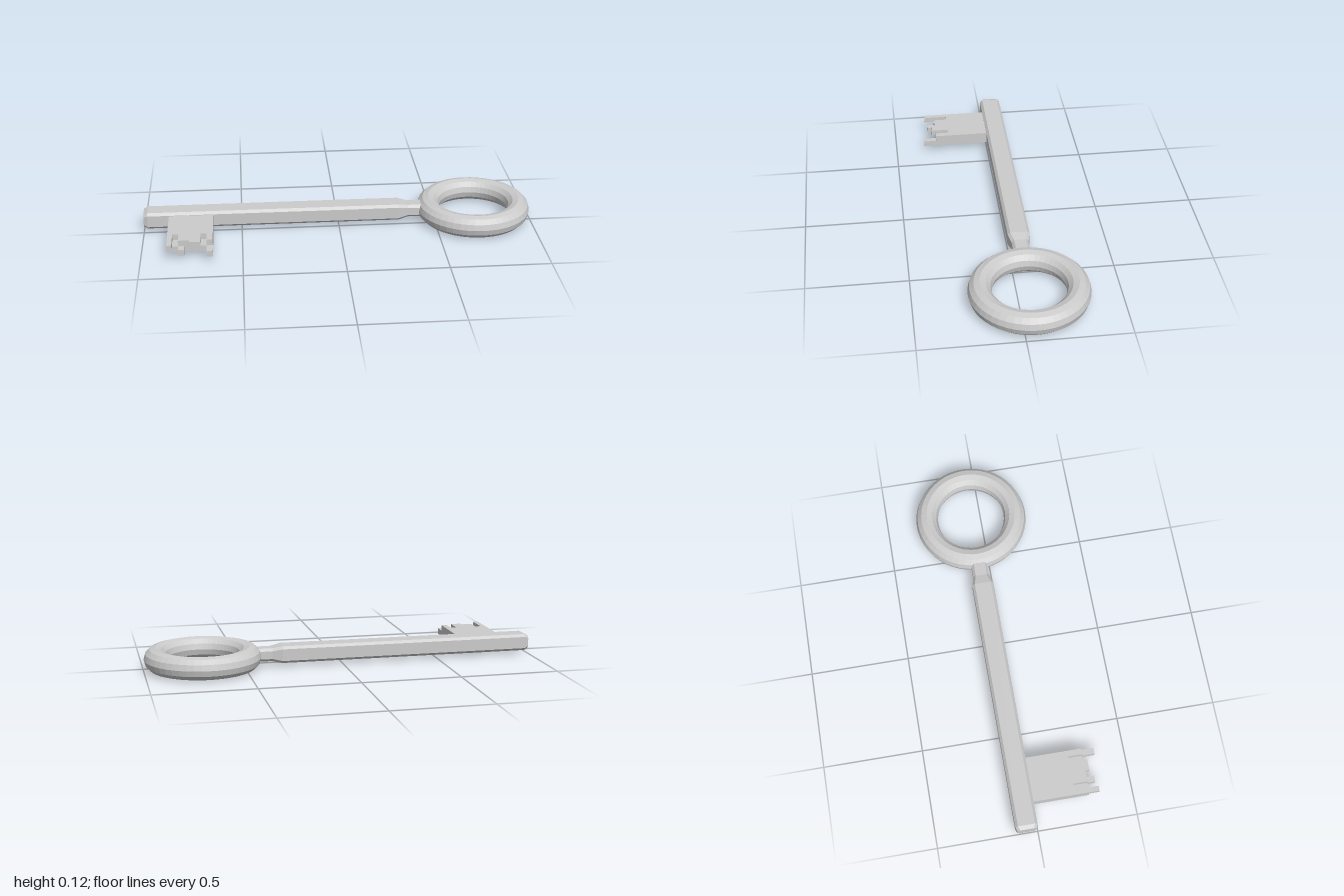
import * as THREE from 'three';

const material = new THREE.MeshStandardMaterial({ color: 0xcccccc, flatShading: true });

function addMesh(parent, name, geometry) {
  const mesh = new THREE.Mesh(geometry, material);
  mesh.name = name;
  parent.add(mesh);
  return mesh;
}

// Chamfered rectangle lofted along x; each section is [x, halfDepth, halfHeight]
function loftShaft(sections, cy, cz, chamfer) {
  const positions = [];
  const rings = sections.map(([x, d, h]) => {
    const c = chamfer;
    return [
      [d, -h + c], [d, h - c], [d - c, h], [-d + c, h],
      [-d, h - c], [-d, -h + c], [-d + c, -h], [d - c, -h],
    ].map(([z, y]) => [x, cy + y, cz + z]);
  });
  const tri = (a, b, c) => positions.push(...a, ...b, ...c);
  const first = rings[0];
  const last = rings[rings.length - 1];
  const n = first.length;
  for (let k = 0; k < rings.length - 1; k++) {
    for (let i = 0; i < n; i++) {
      const j = (i + 1) % n;
      tri(rings[k][i], rings[k + 1][i], rings[k][j]);
      tri(rings[k][j], rings[k + 1][i], rings[k + 1][j]);
    }
  }
  for (let i = 1; i < n - 1; i++) {
    tri(first[0], first[i], first[i + 1]);
    tri(last[0], last[i + 1], last[i]);
  }
  const geometry = new THREE.BufferGeometry();
  geometry.setAttribute('position', new THREE.Float32BufferAttribute(positions, 3));
  geometry.computeVertexNormals();
  return geometry;
}

// Flat plate from an x/z outline, hanging down from height top
function plate(outline, top, thickness) {
  const shape = new THREE.Shape(outline.map(([x, z]) => new THREE.Vector2(x, z)));
  return new THREE.ExtrudeGeometry(shape, { depth: thickness, bevelEnabled: false })
    .rotateX(Math.PI / 2)
    .translate(0, top, 0);
}

export function createModel() {
  const key = new THREE.Group();
  key.name = 'key';

  // Ring handle
  const handle = addMesh(key, 'ringHandle', new THREE.TorusGeometry(0.234, 0.058, 12, 48).rotateX(Math.PI / 2));
  handle.position.set(0.706, 0.06, -0.054);

  // Shaft with bevelled tip and narrowed neck
  addMesh(key, 'shaft', loftShaft([
    [-1, 0.047, 0.034],
    [-0.98, 0.055, 0.043],
    [0.31, 0.055, 0.043],
    [0.36, 0.042, 0.033],
    [0.44, 0.042, 0.033],
  ], 0.0625, -0.055, 0.013));

  // Bit made of two layers with different teeth
  const bit = new THREE.Group();
  bit.name = 'bit';
  key.add(bit);
  addMesh(bit, 'upperTeeth', plate([
    [-0.87, -0.03], [-0.645, -0.03], [-0.645, 0.28], [-0.675, 0.28],
    [-0.675, 0.21], [-0.705, 0.21], [-0.705, 0.3], [-0.76, 0.3],
    [-0.76, 0.28], [-0.815, 0.28], [-0.815, 0.21], [-0.845, 0.21],
    [-0.845, 0.33], [-0.87, 0.33],
  ], 0.09, 0.03));
  addMesh(bit, 'lowerTeeth', plate([
    [-0.87, -0.03], [-0.645, -0.03], [-0.645, 0.345], [-0.675, 0.345],
    [-0.675, 0.28], [-0.785, 0.28], [-0.785, 0.32], [-0.815, 0.32],
    [-0.815, 0.28], [-0.87, 0.28],
  ], 0.06, 0.03));

  return key;
}
